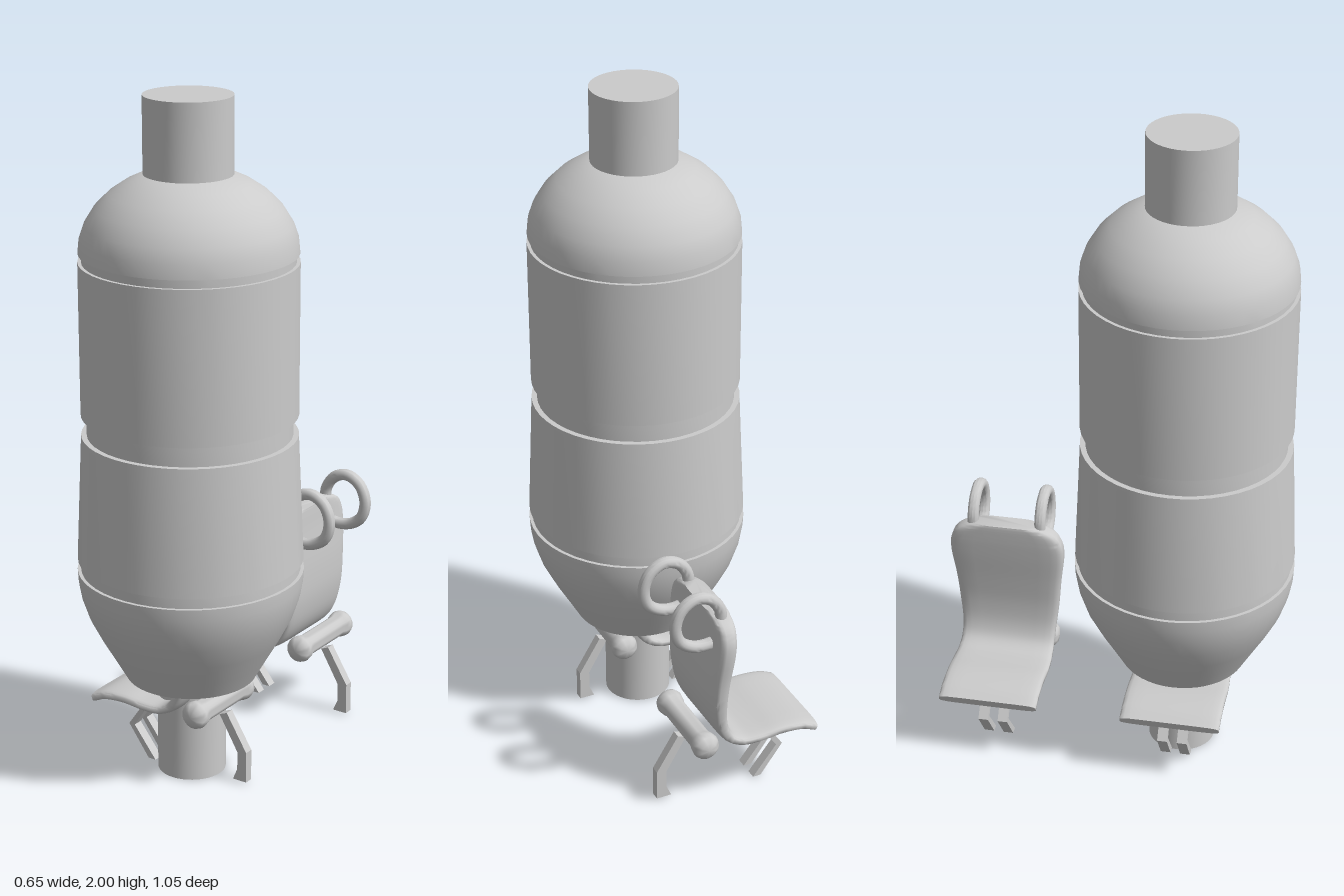
import * as THREE from 'three';
import { toCreasedNormals } from 'three/addons/utils/BufferGeometryUtils.js';

const material = new THREE.MeshStandardMaterial({ color: 0xcccccc });

function part(name, geometry, crease = 0.6) {
  const mesh = new THREE.Mesh(toCreasedNormals(geometry, crease), material);
  mesh.name = name;
  return mesh;
}

function lathe(points, segments) {
  return new THREE.LatheGeometry(points.map(([r, y]) => new THREE.Vector2(r, y)), segments);
}

// Padded shell swept along the seat and up the back; z of the curve holds the half width
function shellGeometry() {
  const path = new THREE.CatmullRomCurve3([
    [-0.252, 0.207, 0.15], [-0.21, 0.224, 0.15], [-0.14, 0.231, 0.15], [-0.07, 0.226, 0.15],
    [-0.015, 0.228, 0.147], [0.025, 0.25, 0.145], [0.05, 0.295, 0.146], [0.062, 0.37, 0.154],
    [0.06, 0.46, 0.162], [0.051, 0.56, 0.174], [0.047, 0.605, 0.171], [0.045, 0.637, 0.155],
    [0.044, 0.655, 0.128], [0.044, 0.667, 0.085],
  ].map((p) => new THREE.Vector3(...p)));
  const rows = 56, sides = 20, positions = [], index = [];
  for (let i = 0; i <= rows; i++) {
    const t = i / rows;
    const p = path.getPoint(t);
    const d = path.getTangent(t);
    const length = Math.hypot(d.x, d.y);
    const nx = -d.y / length, ny = d.x / length;
    const half = THREE.MathUtils.lerp(0.015, 0.03, THREE.MathUtils.smoothstep(t, 0.3, 0.7));
    for (let j = 0; j < sides; j++) {
      const a = ((j + 0.5) / sides) * Math.PI * 2;
      // Flat faces with rounded long edges
      const across = Math.sign(Math.cos(a)) * Math.abs(Math.cos(a)) ** 0.3 * p.z;
      const up = Math.sign(Math.sin(a)) * Math.abs(Math.sin(a)) ** 0.5 * half;
      positions.push(p.x + nx * up, p.y + ny * up, across);
    }
  }
  for (let i = 0; i < rows; i++) {
    for (let j = 0; j < sides; j++) {
      const k = (j + 1) % sides;
      const a = i * sides + j, b = i * sides + k, c = a + sides, e = b + sides;
      index.push(a, c, b, b, c, e);
    }
  }
  // End caps
  const last = rows * sides;
  for (let j = 1; j < sides - 1; j++) {
    index.push(0, j, j + 1, last, last + j + 1, last + j);
  }
  const geometry = new THREE.BufferGeometry();
  geometry.setAttribute('position', new THREE.Float32BufferAttribute(positions, 3));
  geometry.setIndex(index);
  return geometry;
}

// Bent flat bar: outline in x and y, given width along z
function strip(name, outline, width, z) {
  const shape = new THREE.Shape(outline.map(([x, y]) => new THREE.Vector2(x, y)));
  const geometry = new THREE.ExtrudeGeometry(shape, { depth: width, bevelEnabled: false });
  geometry.translate(0, 0, z - width / 2);
  return part(name, geometry, 0.3);
}

function createChair() {
  const chair = new THREE.Group();
  chair.name = 'chair';
  chair.add(part('seatAndBack', shellGeometry(), 0.9));

  // Cross bar behind the seat with rounded, thicker ends
  const barProfile = [
    [0, -0.147], [0.024, -0.143], [0.037, -0.131], [0.041, -0.118], [0.038, -0.1], [0.033, -0.085],
  ];
  const mirrored = barProfile.map(([r, y]) => [r, -y]).reverse();
  const bar = part('crossBar', lathe([...barProfile, ...mirrored], 24), 1);
  bar.rotation.x = Math.PI / 2;
  bar.position.set(0.098, 0.235, 0);
  chair.add(bar);

  // Pair of looped handles on the back
  const loop = new THREE.CatmullRomCurve3([
    [0.045, 0.635], [0.05, 0.685], [0.08, 0.726], [0.125, 0.739],
    [0.168, 0.715], [0.188, 0.665], [0.175, 0.612], [0.135, 0.583], [0.09, 0.577], [0.055, 0.585],
  ].map(([x, y]) => new THREE.Vector3(x, y, 0)));
  for (const side of [-1, 1]) {
    const handle = part('handle', new THREE.TubeGeometry(loop, 40, 0.0175, 12), 1);
    handle.position.z = side * 0.103;
    chair.add(handle);
    // Forked front leg
    chair.add(strip('frontLeg', [
      [-0.125, 0.222], [-0.125, 0.2], [-0.195, 0.1], [-0.125, 0.005],
      [-0.1, 0.005], [-0.175, 0.1], [-0.108, 0.2], [-0.108, 0.222],
    ], 0.03, side * 0.03));
  }

  // Single rear leg
  chair.add(strip('rearLeg', [
    [0.11, 0.2], [0.172, 0.095], [0.172, 0.04], [0.157, 0.005],
    [0.203, 0.005], [0.203, 0.1], [0.135, 0.21],
  ], 0.027, 0));
  return chair;
}

export function createModel() {
  const model = new THREE.Group();
  model.name = 'tankWithChairs';

  // Standing tank with grooves, domed top and tapered base
  const tank = new THREE.Group();
  tank.name = 'tank';
  tank.position.z = 0.2;
  tank.add(part('tankBody', lathe([
    [0, 0.29], [0.1, 0.288], [0.19, 0.303], [0.222, 0.36], [0.262, 0.43], [0.295, 0.495],
    [0.315, 0.555], [0.323, 0.6], [0.325, 0.635], [0.315, 0.635], [0.315, 0.668],
    [0.324, 0.668], [0.307, 1.04], [0.291, 1.04], [0.291, 1.1], [0.307, 1.1], [0.307, 1.54],
    [0.297, 1.54], [0.297, 1.565], [0.306, 1.565], [0.302, 1.605], [0.288, 1.645],
    [0.26, 1.69], [0.22, 1.73], [0.175, 1.76], [0.125, 1.783], [0, 1.79],
  ], 48)));
  const pipes = [['topPipe', 0.125, 1.76, 2], ['basePipe', 0.1, 0, 0.3]];
  for (const [name, radius, bottom, top] of pipes) {
    const pipe = part(name, new THREE.CylinderGeometry(radius, radius, top - bottom, 40));
    pipe.position.y = (top + bottom) / 2;
    tank.add(pipe);
  }
  model.add(tank);

  // One chair behind the tank, one tucked into its base
  for (const z of [-0.352, 0.202]) {
    const chair = createChair();
    chair.position.z = z;
    model.add(chair);
  }
  return model;
}
